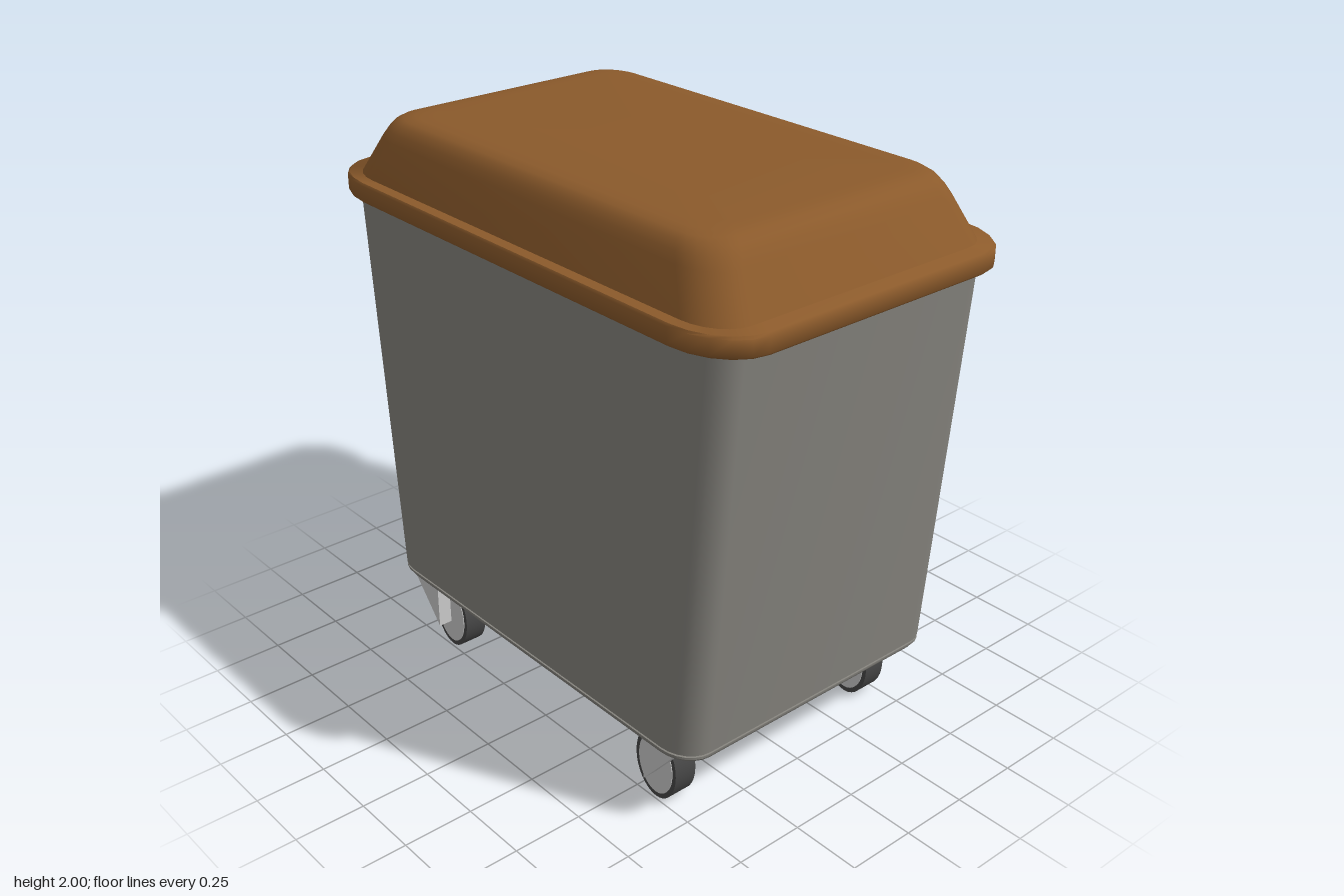
import * as THREE from 'three';
import { toCreasedNormals } from 'three/addons/utils/BufferGeometryUtils.js';

const paint = (color) => new THREE.MeshStandardMaterial({ color });

// Closed loft of rounded rectangles; rings are [y, halfX, halfZ, cornerX, cornerZ], bottom to top
function loft(rings, segments, crease) {
  const positions = [], index = [];
  const count = 4 * (segments + 1);
  for (const [y, hx, hz, rx, rz] of rings) {
    for (let c = 0; c < 4; c++) {
      const sx = c === 0 || c === 3 ? 1 : -1;
      const sz = c < 2 ? 1 : -1;
      for (let i = 0; i <= segments; i++) {
        const a = (c + i / segments) * Math.PI / 2;
        positions.push(sx * (hx - rx) + rx * Math.cos(a), y, sz * (hz - rz) + rz * Math.sin(a));
      }
    }
  }
  for (let r = 0; r < rings.length - 1; r++) {
    for (let i = 0; i < count; i++) {
      const a = r * count + i, b = r * count + (i + 1) % count;
      index.push(a, a + count, b, b, a + count, b + count);
    }
  }
  // End caps
  const last = (rings.length - 1) * count, centre = rings.length * count;
  positions.push(0, rings[0][0], 0, 0, rings[rings.length - 1][0], 0);
  for (let i = 0; i < count; i++) {
    const j = (i + 1) % count;
    index.push(centre, i, j, centre + 1, last + j, last + i);
  }
  const geometry = new THREE.BufferGeometry();
  geometry.setAttribute('position', new THREE.Float32BufferAttribute(positions, 3));
  geometry.setIndex(index);
  return toCreasedNormals(geometry, crease);
}

function addMesh(parent, name, geometry, material) {
  const mesh = new THREE.Mesh(geometry, material);
  mesh.name = name;
  parent.add(mesh);
  return mesh;
}

export function createModel() {
  const model = new THREE.Group();
  model.name = 'wheeledBin';
  const brown = paint(0x8b5a2b), bodyGrey = paint(0x85837d);
  const rubber = paint(0x484848), metal = paint(0xcccccc);

  // Tapered container with a rounded foot and a fine groove above it
  addMesh(model, 'container', loft([
    [0.27, 0.785, 0.545, 0.1, 0.08],
    [0.277, 0.808, 0.562, 0.12, 0.1],
    [0.29, 0.817, 0.57, 0.12, 0.1],
    [0.298, 0.817, 0.57, 0.12, 0.1],
    [0.299, 0.808, 0.562, 0.12, 0.1],
    [0.304, 0.808, 0.562, 0.12, 0.1],
    [0.305, 0.818, 0.57, 0.12, 0.1],
    [1.74, 0.932, 0.573, 0.13, 0.1],
  ], 6, 0.7), bodyGrey);

  // Lid: overhanging rim and domed cover
  const lid = new THREE.Group();
  lid.name = 'lid';
  model.add(lid);
  addMesh(lid, 'lidRim', loft([
    [1.722, 0.993, 0.611, 0.22, 0.17],
    [1.73, 1, 0.617, 0.23, 0.17],
    [1.782, 1, 0.617, 0.23, 0.17],
    [1.79, 0.993, 0.611, 0.22, 0.17],
  ], 5, 0.9), brown);
  addMesh(lid, 'lidCover', loft([
    [1.785, 0.935, 0.574, 0.16, 0.12],
    [1.92, 0.855, 0.527, 0.15, 0.11],
    [1.95, 0.836, 0.514, 0.15, 0.11],
    [1.975, 0.815, 0.498, 0.14, 0.11],
    [1.99, 0.788, 0.478, 0.13, 0.1],
    [1.997, 0.75, 0.445, 0.12, 0.09],
    [2, 0.7, 0.4, 0.1, 0.08],
  ], 6, 0.8), brown);

  // Casters: oval wheel with a triangular bracket on its outer face
  const tyre = toCreasedNormals(new THREE.CylinderGeometry(1, 1, 0.085, 32).rotateX(Math.PI / 2).scale(0.098, 0.131, 1), 0.7);
  const hub = toCreasedNormals(new THREE.CylinderGeometry(1, 1, 0.09, 32).rotateX(Math.PI / 2).scale(0.082, 0.112, 1), 0.7);
  for (const sx of [-1, 1]) {
    const triangle = new THREE.Shape([
      new THREE.Vector2(0, 0.1),
      new THREE.Vector2(sx * 0.155, 0.28),
      new THREE.Vector2(0, 0.28),
    ]);
    const bracket = new THREE.ExtrudeGeometry(triangle, { depth: 0.055, bevelEnabled: false });
    for (const sz of [-1, 1]) {
      const caster = new THREE.Group();
      caster.name = (sz > 0 ? 'front' : 'back') + (sx > 0 ? 'Left' : 'Right') + 'Caster';
      caster.position.x = sx * 0.583;
      model.add(caster);
      addMesh(caster, 'tyre', tyre, rubber).position.set(0, 0.131, sz * 0.448);
      addMesh(caster, 'hub', hub, metal).position.set(0, 0.131, sz * 0.448);
      addMesh(caster, 'bracket', bracket, metal).position.z = sz > 0 ? 0.489 : -0.544;
    }
  }
  return model;
}
